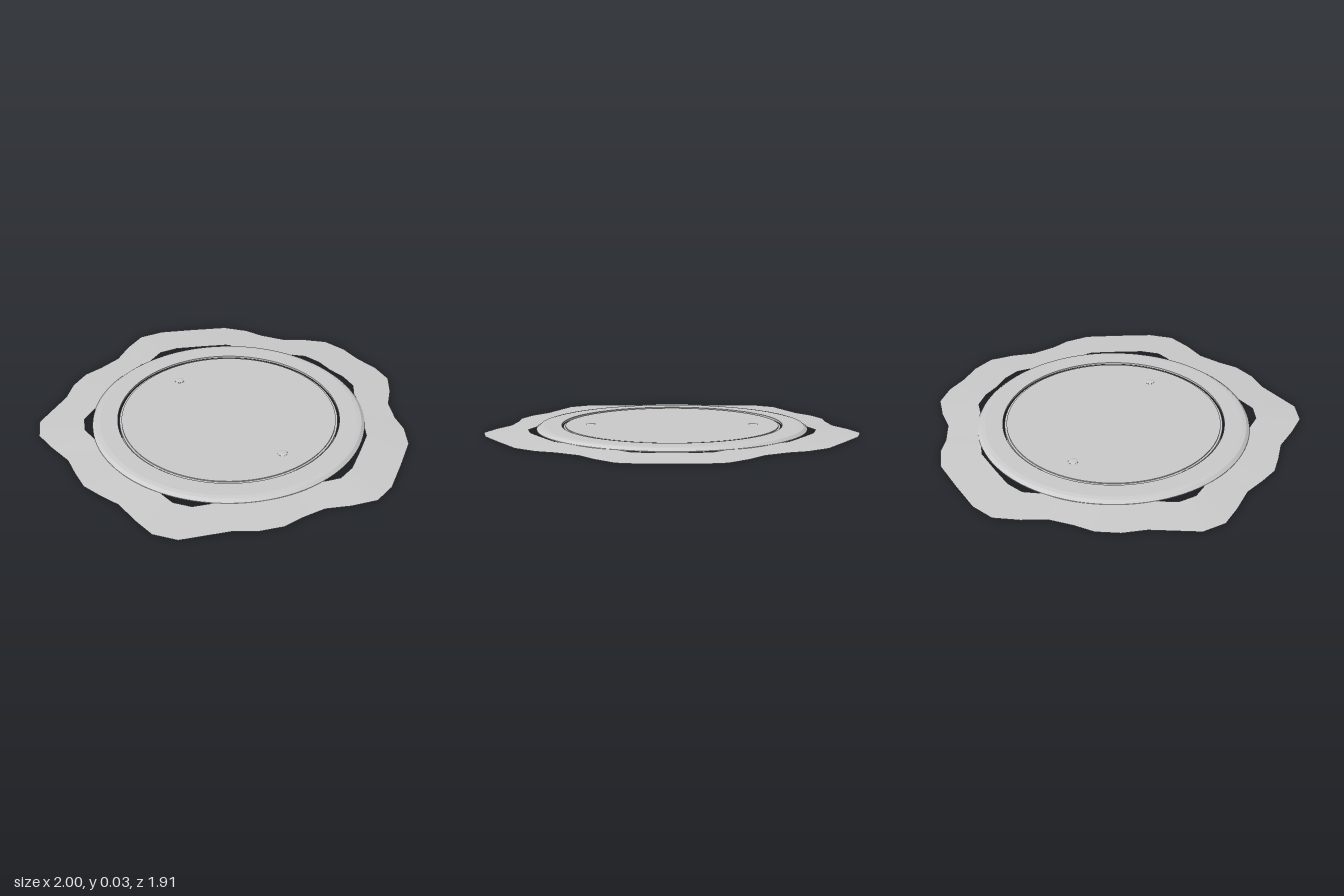
import * as THREE from 'three';

export function createModel() {
  const model = new THREE.Group();
  const grey = new THREE.MeshStandardMaterial({ color: 0xcccccc, side: THREE.DoubleSide });
  grey.name = 'light grey';

  const add = (name, geometry, x = 0, y = 0, z = 0.02) => {
    const mesh = new THREE.Mesh(geometry, grey);
    mesh.name = name;
    mesh.position.set(x, y, z);
    model.add(mesh);
    return mesh;
  };
  // Lathe made of separate bands, so the edges stay sharp
  const bands = (name, profile) => {
    for (let i = 0; i < profile.length - 1; i++) {
      const pts = [profile[i], profile[i + 1]].map(p => new THREE.Vector2(...p));
      add(name, new THREE.LatheGeometry(pts, 96));
    }
  };

  // Wavy apron: half outline (x, z) from back to front, mirrored in x
  const half = [
    [0, -0.95], [0.13, -0.96], [0.26, -0.935], [0.36, -0.85], [0.44, -0.755], [0.56, -0.685],
    [0.66, -0.65], [0.77, -0.57], [0.87, -0.41], [0.97, -0.24], [1, -0.11], [0.95, 0.02],
    [0.885, 0.135], [0.865, 0.265], [0.86, 0.375], [0.81, 0.49], [0.73, 0.59], [0.62, 0.825],
    [0.51, 0.895], [0.38, 0.9], [0.23, 0.893], [0.11, 0.925], [0, 0.947],
  ];
  const outline = [...half, ...half.slice(1, -1).reverse().map(([x, z]) => [-x, z])];
  const positions = [], index = [];
  const n = outline.length, inner = 0.766;
  outline.forEach(([x, z], i) => {
    positions.push(x, 0.002, z, x * inner, 0.013, z * inner);
    const a = 2 * i, b = 2 * ((i + 1) % n);
    index.push(a, a + 1, b, b, a + 1, b + 1);
  });
  const apron = new THREE.BufferGeometry();
  apron.setAttribute('position', new THREE.Float32BufferAttribute(positions, 3));
  apron.setIndex(index);
  apron.computeVertexNormals();
  add('apron', apron, 0, 0, 0);

  // Raised rim, a thin shell with a sloping outer edge
  bands('rim', [
    [0.73, 0.009], [0.73, 0.013], [0.712, 0.027], [0.69, 0.03], [0.595, 0.03], [0.595, 0.018],
  ]);
  bands('rimUnderside', [[0.595, 0.018], [0.70, 0.018], [0.73, 0.009]]);

  // Central plate, separated from the rim by a narrow groove
  add('plate', new THREE.CylinderGeometry(0.575, 0.575, 0.027, 96), 0, 0.0135);
  bands('plateLip', [[0.586, 0], [0.586, 0.022], [0.575, 0.022]]);
  bands('plateLipUnderside', [[0.575, 0], [0.586, 0]]);

  // Two low studs
  for (const side of [-1, 1]) {
    const stud = new THREE.SphereGeometry(0.026, 20, 8, 0, Math.PI * 2, 0, Math.PI / 2);
    stud.scale(1, 0.14, 1);
    add(side > 0 ? 'leftStud' : 'rightStud', stud, side * 0.44, 0.027);
  }
  return model;
}
